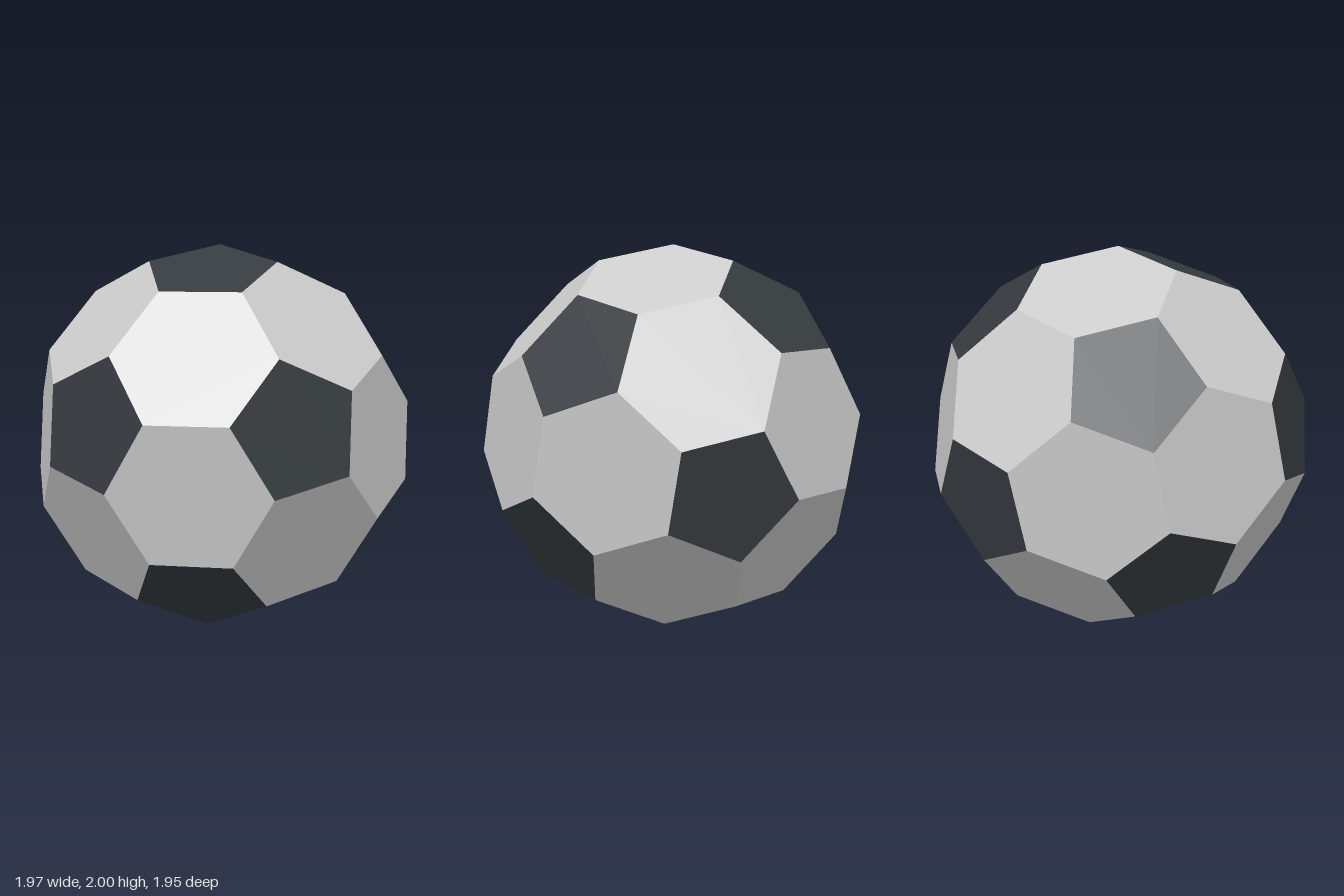
import * as THREE from 'three';

// Twelve corners of an icosahedron; cutting them off gives the ball's panels
function icosahedronCorners() {
  const phi = (1 + Math.sqrt(5)) / 2;
  const corners = [];
  for (const s of [-1, 1]) for (const t of [-phi, phi]) {
    corners.push(new THREE.Vector3(0, s, t), new THREE.Vector3(s, t, 0), new THREE.Vector3(t, 0, s));
  }
  return corners;
}

// Points sorted counter-clockwise round their outward centre
function sortAround(points) {
  const n = points.reduce((sum, p) => sum.add(p), new THREE.Vector3()).normalize();
  const u = points[0].clone().addScaledVector(n, -points[0].dot(n)).normalize();
  const v = n.clone().cross(u);
  const angle = (p) => Math.atan2(p.dot(v), p.dot(u));
  return [...points].sort((a, b) => angle(a) - angle(b));
}

// Flat panels, each a fan of triangles, joined in one mesh
function panelMesh(name, panels, color, rotation) {
  const points = [];
  for (const panel of panels) {
    for (let i = 1; i < panel.length - 1; i++) points.push(panel[0], panel[i], panel[i + 1]);
  }
  const geometry = new THREE.BufferGeometry().setFromPoints(points);
  geometry.applyMatrix4(rotation);
  geometry.computeVertexNormals();
  const mesh = new THREE.Mesh(geometry, new THREE.MeshStandardMaterial({ color, flatShading: true }));
  mesh.name = name;
  return mesh;
}

export function createModel() {
  const corners = icosahedronCorners();
  const adjacent = (a, b) => a !== b && a.distanceTo(b) < 2.1;
  // Every panel corner lies a third of the way along an icosahedron edge
  const third = (a, b) => a.clone().lerp(b, 1 / 3).normalize();

  const pentagons = corners.map((c) =>
    sortAround(corners.filter((d) => adjacent(c, d)).map((d) => third(c, d))));

  const hexagons = [];
  corners.forEach((a, i) => corners.forEach((b, j) => corners.forEach((c, k) => {
    if (i < j && j < k && adjacent(a, b) && adjacent(b, c) && adjacent(a, c)) {
      hexagons.push(sortAround([
        third(a, b), third(b, a), third(b, c), third(c, b), third(c, a), third(a, c),
      ]));
    }
  })));

  // Turn the ball: one pentagon corner at the very top, its next edge along +x,
  // and the pentagon leaning to the front
  const [first, second] = pentagons[0];
  const build = (top, next) => {
    const x = next.clone().addScaledVector(top, -next.dot(top)).normalize();
    return [x, top.clone(), x.clone().cross(top)];
  };
  let axes = build(first, second);
  if (axes[2].dot(corners[0]) < 0) axes = build(second, first);
  const rotation = new THREE.Matrix4().makeBasis(...axes).transpose();

  const ball = new THREE.Group();
  ball.name = 'ball';
  ball.add(panelMesh('hexagonPanels', hexagons, 0xcccccc, rotation));
  ball.add(panelMesh('pentagonPanels', pentagons, 0x363b3f, rotation));
  ball.position.y = 1;

  const model = new THREE.Group();
  model.name = 'footballModel';
  model.add(ball);
  return model;
}
